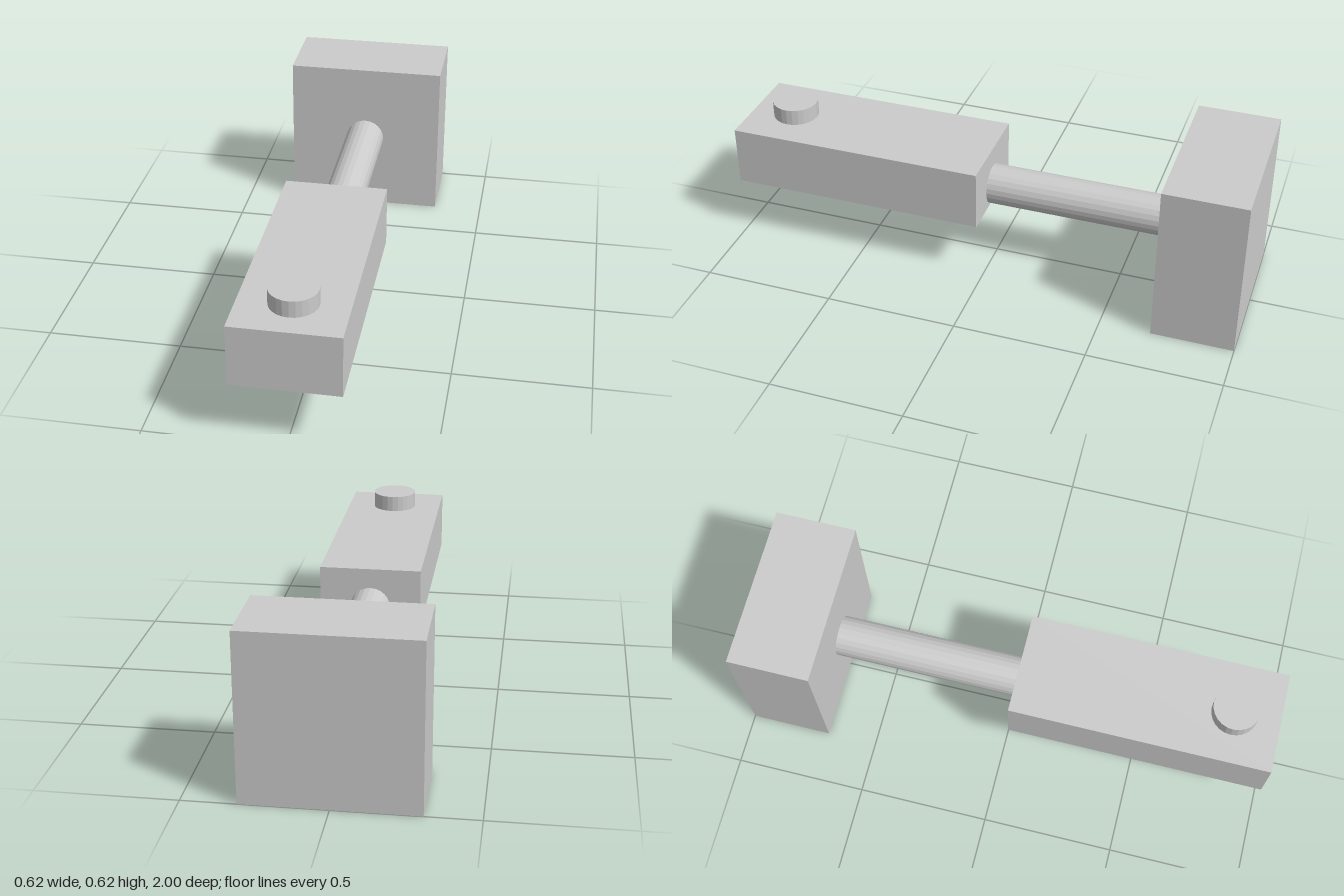
import * as THREE from 'three';

export function createModel() {
  const model = new THREE.Group();
  const material = new THREE.MeshStandardMaterial({ color: 0xcccccc, flatShading: true });

  function add(name, geometry, x, y, z) {
    const mesh = new THREE.Mesh(geometry, material);
    mesh.name = name;
    mesh.position.set(x, y, z);
    model.add(mesh);
    return mesh;
  }

  // Large block at the back
  add('headBlock', new THREE.BoxGeometry(0.616, 0.616, 0.308), 0, 0.308, -0.846);

  // Round rod joining the block and the handle
  const shaft = add('shaft', new THREE.CylinderGeometry(0.077, 0.077, 0.71, 24), 0, 0.31, -0.337);
  shaft.rotation.x = Math.PI / 2;

  // Long handle at the front, with a round button on top
  add('handle', new THREE.BoxGeometry(0.385, 0.23, 0.982), 0, 0.348, 0.509);
  add('button', new THREE.CylinderGeometry(0.087, 0.087, 0.062, 24), 0, 0.494, 0.829);

  return model;
}
